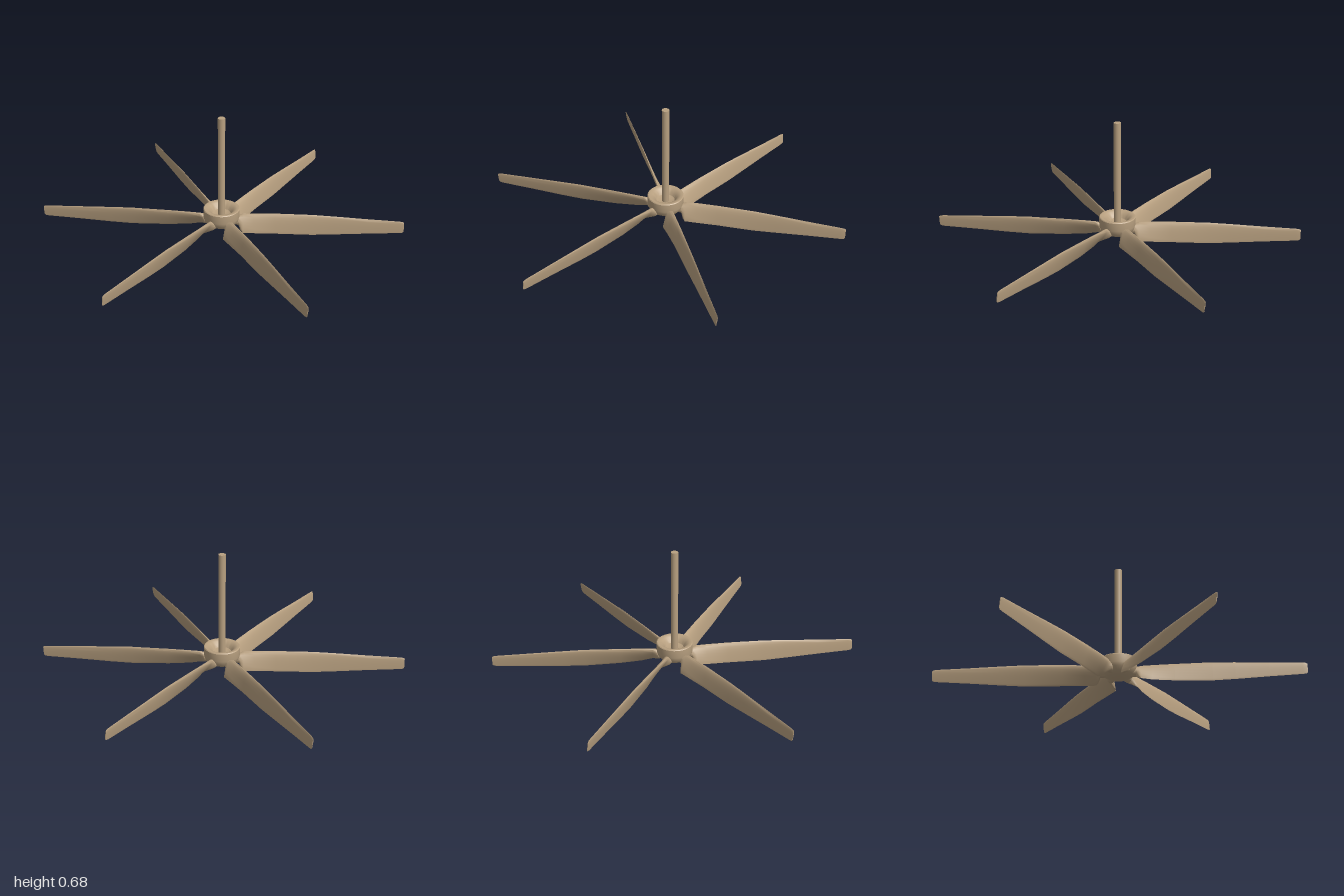
import * as THREE from 'three';
import { toCreasedNormals } from 'three/addons/utils/BufferGeometryUtils.js';

const tan = new THREE.MeshStandardMaterial({ color: 0xb8a080 });
tan.name = 'tan';

// Blade stations: radius, top t, top y, bottom t, bottom y, thickness, taper to the trailing edge
const STATIONS = [
  [0.05, 0.003, 0.092, -0.003, 0.042, 0.05, 0],
  [0.095, 0.004, 0.094, -0.006, 0.040, 0.048, 0],
  [0.108, 0.010, 0.100, -0.034, 0.022, 0.040, 0.4],
  [0.122, 0.011, 0.104, -0.047, 0.013, 0.034, 0.7],
  [0.18, 0.010, 0.108, -0.037, 0.008, 0.029, 0.75],
  [0.30, 0.009, 0.113, -0.025, 0.005, 0.024, 0.75],
  [0.50, 0.006, 0.117, -0.017, 0.004, 0.018, 0.75],
  [0.62, 0.005, 0.114, -0.013, 0.011, 0.015, 0.75],
  [0.80, 0.003, 0.108, -0.009, 0.024, 0.011, 0.75],
  [0.975, 0.002, 0.103, -0.005, 0.035, 0.007, 0.7],
  [0.993, 0.002, 0.101, -0.005, 0.038, 0.006, 0.7],
  [1.0, 0.002, 0.096, -0.004, 0.045, 0.005, 0.7],
];

// Lofts twisted aerofoil sections along +z
function bladeGeometry(sides = 20) {
  const pos = [], index = [];
  for (const [r, tx, ty, bx, by, thick, taper] of STATIONS) {
    const dx = tx - bx, dy = ty - by, len = Math.hypot(dx, dy);
    for (let j = 0; j < sides; j++) {
      const a = (j / sides) * Math.PI * 2;
      const c = Math.cos(a) / 2;
      const h = (thick / 2) * Math.sin(a) * (1 - taper * (0.5 - c));
      pos.push((tx + bx) / 2 + dx * c - (dy / len) * h, (ty + by) / 2 + dy * c + (dx / len) * h, r);
    }
  }
  for (let i = 0; i < STATIONS.length - 1; i++) {
    for (let j = 0; j < sides; j++) {
      const k = (j + 1) % sides;
      const a = i * sides + j, b = i * sides + k;
      index.push(a, b, b + sides, a, b + sides, a + sides);
    }
  }
  // Flat tip
  const last = (STATIONS.length - 1) * sides;
  for (let j = 1; j < sides - 1; j++) index.push(last, last + j, last + j + 1);
  const geo = new THREE.BufferGeometry();
  geo.setAttribute('position', new THREE.Float32BufferAttribute(pos, 3));
  geo.setIndex(index);
  return toCreasedNormals(geo, 0.7);
}

function add(parent, name, geometry) {
  const mesh = new THREE.Mesh(geometry, tan);
  mesh.name = name;
  parent.add(mesh);
  return mesh;
}

export function createModel() {
  const model = new THREE.Group();
  model.name = 'propeller';

  // Hub: rounded underside, straight collar and dished top
  const profile = [
    [0, 0.03], [0.025, 0.031], [0.055, 0.037], [0.08, 0.05], [0.095, 0.07], [0.1, 0.09],
    [0.1, 0.135], [0.096, 0.139], [0.085, 0.139], [0.07, 0.132], [0.058, 0.118],
    [0.05, 0.105], [0.035, 0.1], [0, 0.1],
  ].map(([x, y]) => new THREE.Vector2(x, y));
  add(model, 'hub', toCreasedNormals(new THREE.LatheGeometry(profile, 48), 0.6));

  // Drive shaft
  const shaft = add(model, 'shaft', new THREE.CylinderGeometry(0.02, 0.02, 0.59, 24));
  shaft.position.y = 0.385;

  // Six blades around the hub
  const blade = bladeGeometry();
  for (let i = 0; i < 6; i++) {
    add(model, 'blade' + (i + 1), blade).rotation.y = (i * Math.PI) / 3;
  }
  return model;
}
